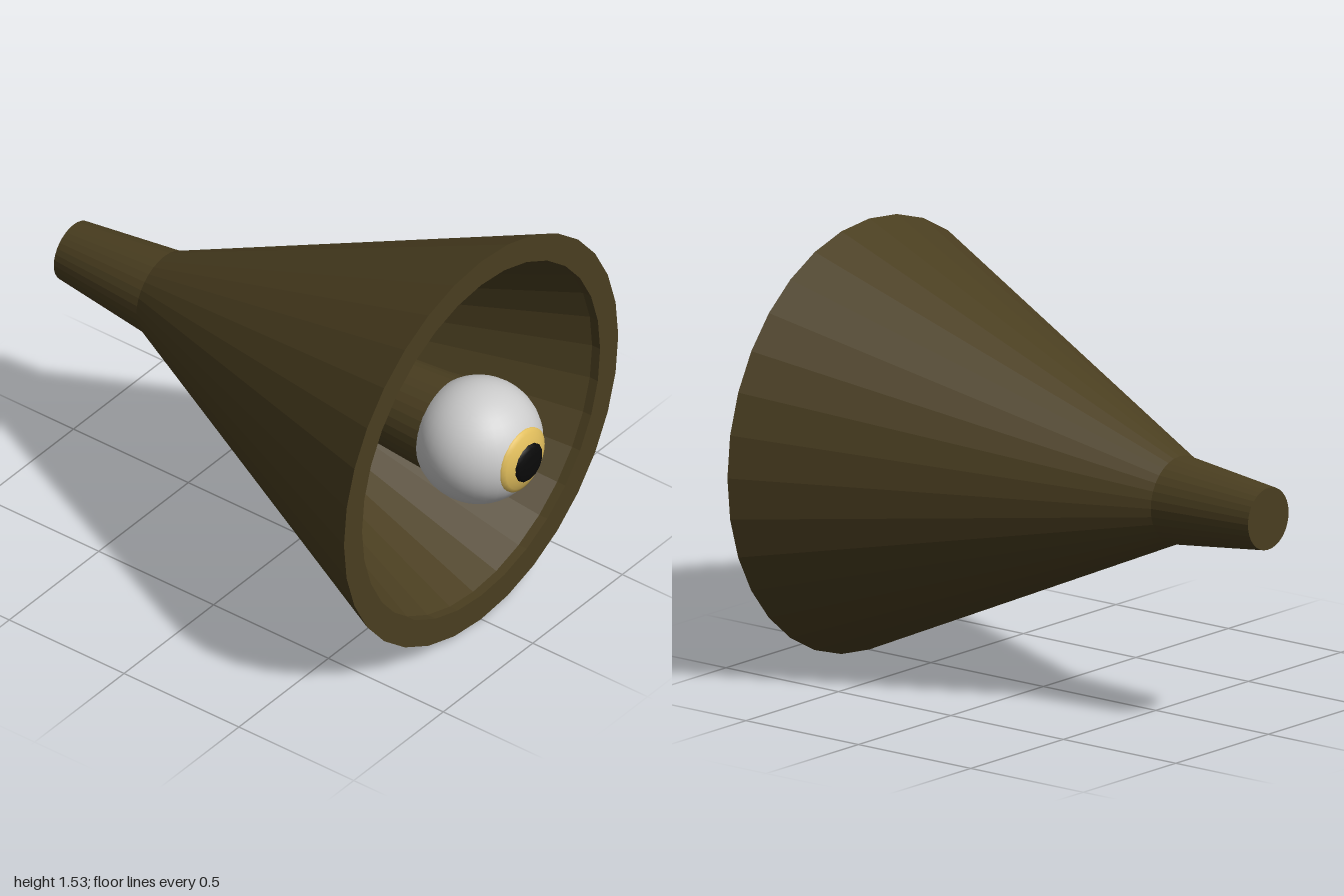
import * as THREE from 'three';

const AXIS_Y = 0.766; // height of the horizontal centre line

// Turned part: [radius, z] profile spun about the z axis
function turned(name, profile, sides, color, flatShading) {
  const points = profile.map(([r, z]) => new THREE.Vector2(r, z));
  const geometry = new THREE.LatheGeometry(points, sides).rotateX(Math.PI / 2);
  const mesh = new THREE.Mesh(geometry, new THREE.MeshStandardMaterial({ color, flatShading }));
  mesh.name = name;
  mesh.position.y = AXIS_Y;
  return mesh;
}

export function createModel() {
  const model = new THREE.Group();
  model.name = 'eyeHorn';
  const brown = 0x4a3e20;

  // Hollow bell with a thick rim, a short lip and a tapered, closed neck
  model.add(turned('bell', [
    [0, -1], [0.11, -1], [0.155, -0.605], [0.766, 0.775],
    [0.665, 0.775], [0.665, 0.74], [0.1, -0.56], [0, -0.56],
  ], 32, brown, true));

  // Tapered stalk carrying the eye
  model.add(turned('stalk', [[0.085, -0.6], [0.18, 0.7]], 32, brown, true));

  // Eyeball
  const eyeZ = 0.765;
  const eyeball = new THREE.Mesh(
    new THREE.SphereGeometry(0.223, 32, 24),
    new THREE.MeshStandardMaterial({ color: 0xcccccc }),
  );
  eyeball.name = 'eyeball';
  eyeball.position.set(0, AXIS_Y, eyeZ);
  model.add(eyeball);

  // Iris: a shallow cap hugging the eyeball
  const capRadius = 0.228;
  const iris = [0.12, 0.105, 0.09, 0.07, 0.04, 0]
    .map((r) => [r, eyeZ + Math.sqrt(capRadius ** 2 - r ** 2)]);
  model.add(turned('iris', [[0.12, 0.945], ...iris], 32, 0xe0bd5c, false));

  // Pupil: a small raised button
  model.add(turned('pupil', [
    [0.073, 0.97], [0.073, 0.984], [0.062, 0.993], [0.035, 0.999], [0, 1],
  ], 14, 0x0a0a0a, false));

  return model;
}
